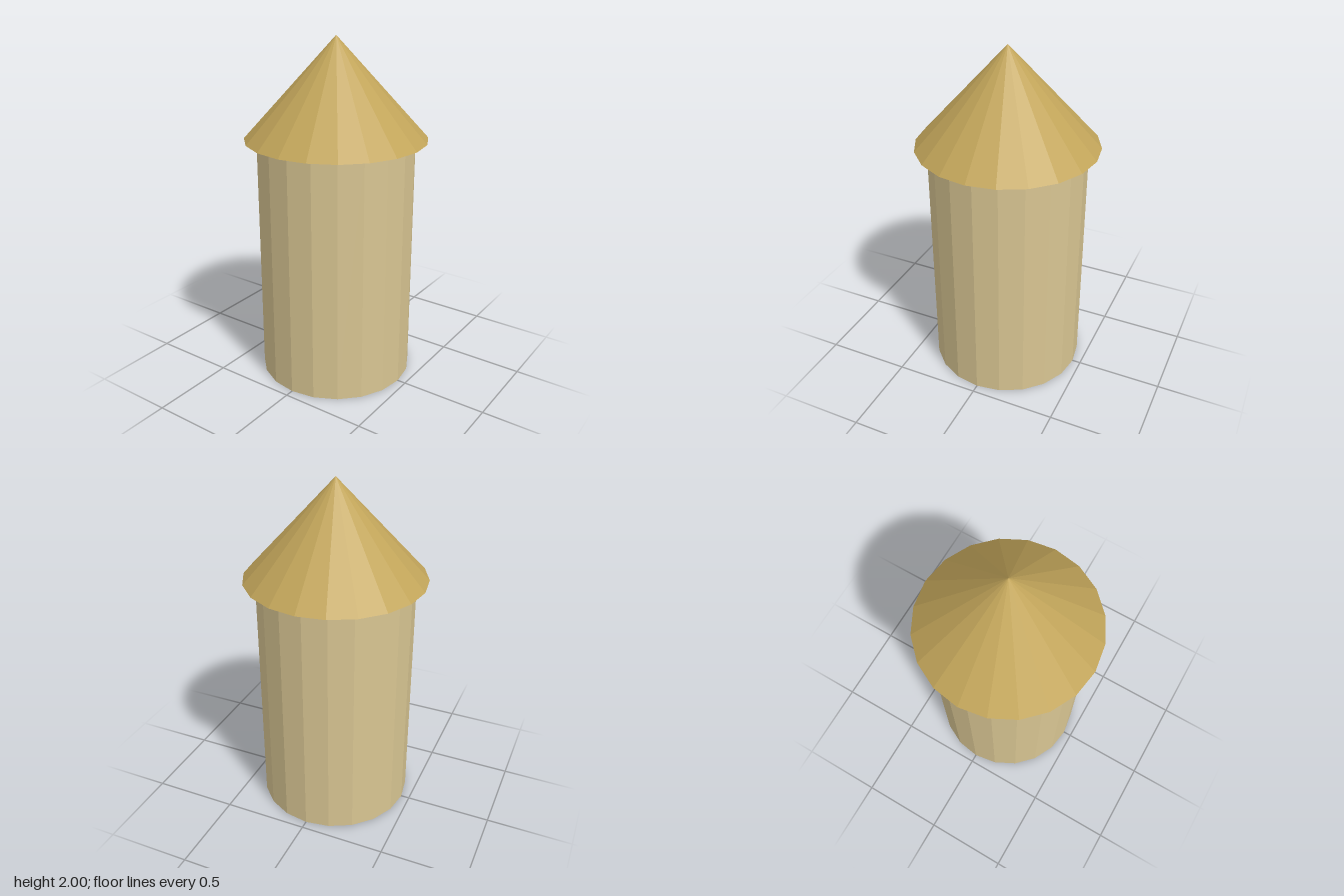
import * as THREE from 'three';

const SIDES = 20;
const EAVES = 1.43; // height where wall meets roof
const TOP = 2;

export function createModel() {
  const group = new THREE.Group();
  group.name = 'roundTower';

  const wallMaterial = new THREE.MeshStandardMaterial({ color: 0xd8c592, flatShading: true });
  wallMaterial.name = 'pale sand';
  const roofMaterial = new THREE.MeshStandardMaterial({ color: 0xc2a55a, flatShading: true });
  roofMaterial.name = 'straw gold';

  // Cylindrical wall
  const wall = new THREE.Mesh(new THREE.CylinderGeometry(0.45, 0.45, EAVES, SIDES), wallMaterial);
  wall.name = 'wall';
  wall.position.y = EAVES / 2;

  // Conical roof overhanging the wall
  const roof = new THREE.Mesh(new THREE.ConeGeometry(0.52, TOP - EAVES, SIDES), roofMaterial);
  roof.name = 'roof';
  roof.position.y = (EAVES + TOP) / 2;

  group.add(wall, roof);
  return group;
}
